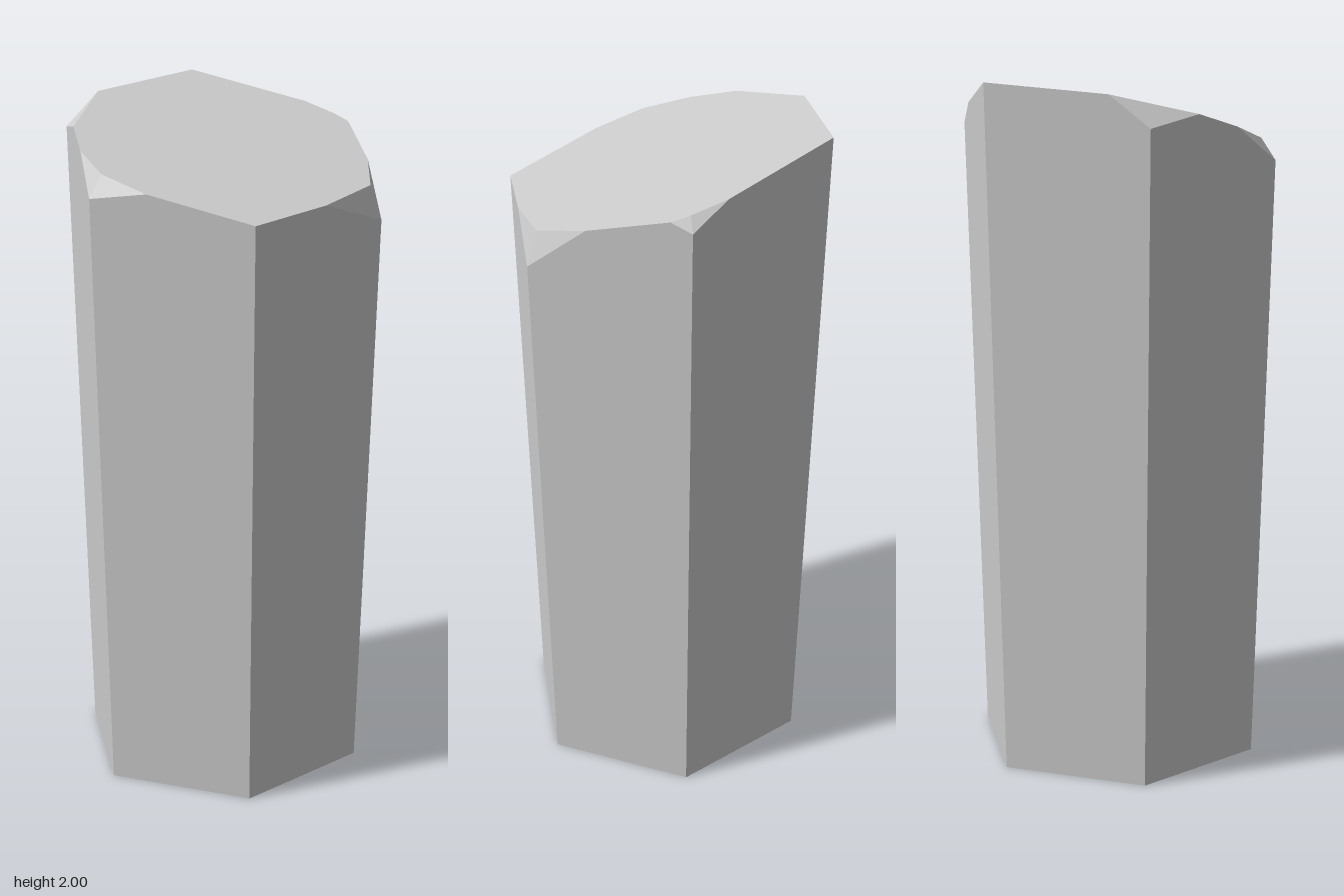
import * as THREE from 'three';
import { ConvexGeometry } from 'three/addons/geometries/ConvexGeometry.js';

// Hexagonal column, slightly wider upwards, cut by a sloping top plane
const BASE = 0.43, FLARE = 0.0258;
const TOP = { y: 1.8675, sx: 0.07, sz: -0.279 };

const radius = (y) => BASE + FLARE * y;
const corner = (i) => new THREE.Vector2(Math.cos(i * Math.PI / 3), Math.sin(i * Math.PI / 3));

// Point on the wall at height y, in hexagon direction d
const wallPoint = (d, y) => new THREE.Vector3(d.x * radius(y), y, d.y * radius(y));

// Point where the wall in direction d meets the sloping top
function rimPoint(d) {
  const k = TOP.sx * d.x + TOP.sz * d.y;
  return wallPoint(d, (TOP.y + BASE * k) / (1 - FLARE * k));
}

// Point on the sloping top at x, z
const topPoint = (x, z) => new THREE.Vector3(x, TOP.y + TOP.sx * x + TOP.sz * z, z);

// Chipped corners: remaining corner height, cut along each neighbouring edge, inner chip point
const chips = {
  0: { y: 1.86, next: 0.13, prev: 0.25, inner: [0.445, 0] },
  1: { y: 1.68, next: 0.46, prev: 0.37, inner: [0.22, 0.38] },
  3: { y: 1.775, next: 0.325, prev: 0.35, inner: [-0.433, 0] },
  4: { y: 1.886, next: 0.25, prev: 0.37 },
};

export function createModel() {
  const points = [];
  for (let i = 0; i < 6; i++) {
    const c = corner(i), chip = chips[i];
    points.push(wallPoint(c, 0));
    if (!chip) {
      points.push(rimPoint(c));
      continue;
    }
    points.push(wallPoint(c, chip.y));
    points.push(rimPoint(c.clone().lerp(corner(i + 1), chip.next)));
    points.push(rimPoint(c.clone().lerp(corner(i + 5), chip.prev)));
    if (chip.inner) points.push(topPoint(...chip.inner));
  }

  const column = new THREE.Mesh(
    new ConvexGeometry(points),
    new THREE.MeshStandardMaterial({ color: 0xcccccc, flatShading: true })
  );
  column.name = 'stoneColumn';

  const group = new THREE.Group();
  group.name = 'hexagonalRock';
  group.add(column);
  return group;
}
